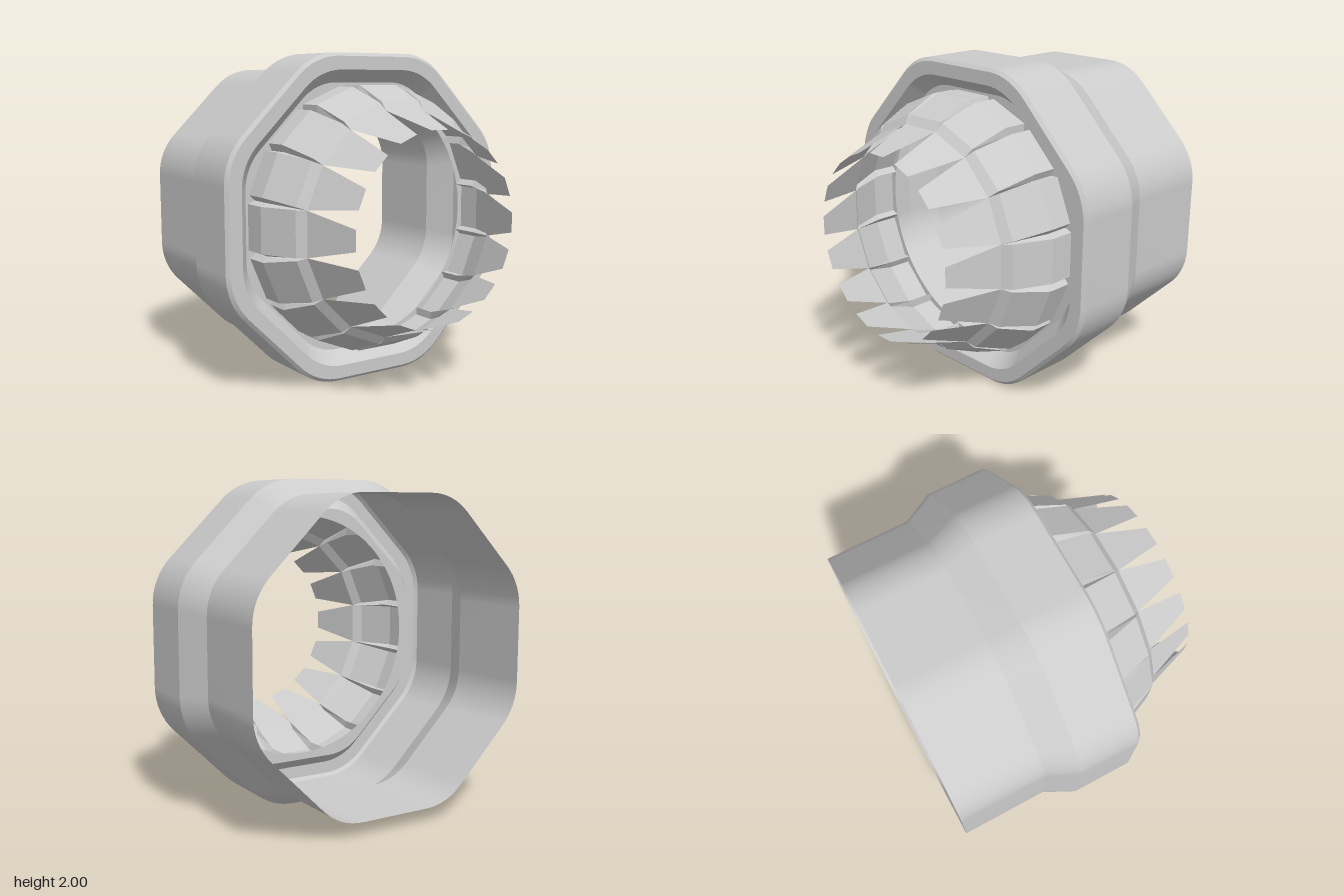
import * as THREE from 'three';
import { mergeGeometries } from 'three/addons/utils/BufferGeometryUtils.js';

const SEG = 8; // segments per rounded corner

// Rounded octagon (apothem a) in the plane z, or a plain circle of radius a
function ring(a, z, circle = false) {
  const pts = [], rho = 0.4 * a, c = (a - rho) / Math.cos(Math.PI / 8);
  for (let k = 0; k < 8; k++) {
    const mid = (k + 0.5) * Math.PI / 4;
    for (let i = 0; i <= SEG; i++) {
      const t = mid + (i / SEG - 0.5) * Math.PI / 4;
      if (circle) {
        // small inset keeps neighbouring points of the circle distinct
        const s = mid + (i / SEG - 0.5) * Math.PI / 4 * 0.9;
        pts.push([a * Math.cos(s), a * Math.sin(s), z]);
      } else {
        pts.push([c * Math.cos(mid) + rho * Math.cos(t), c * Math.sin(mid) + rho * Math.sin(t), z]);
      }
    }
  }
  return pts;
}

// Strip of faces between two rows of points
function band(a, b, closed) {
  const n = a.length, index = [];
  for (let i = 0; i < (closed ? n : n - 1); i++) {
    const j = (i + 1) % n;
    index.push(i, j, n + j, i, n + j, n + i);
  }
  const g = new THREE.BufferGeometry();
  g.setAttribute('position', new THREE.Float32BufferAttribute([...a, ...b].flat(), 3));
  g.setIndex(index);
  g.computeVertexNormals();
  return g;
}

// Bands are separate, so edges between them stay sharp
function loft(rows, closed) {
  return mergeGeometries(rows.slice(1).map((r, i) => band(rows[i], r, closed)));
}

export function createModel() {
  const model = new THREE.Group();
  const smooth = new THREE.MeshStandardMaterial({ color: 0xcccccc, side: THREE.DoubleSide });
  const faceted = new THREE.MeshStandardMaterial({ color: 0xcccccc, side: THREE.DoubleSide, flatShading: true });

  const nozzle = new THREE.Group();
  nozzle.name = 'nozzle';
  nozzle.position.y = 1;
  model.add(nozzle);

  // Outer casing: open back, shoulder, chamfered front edge, rim and inner bevel
  const profile = [
    [0.91, -0.88], [0.91, -0.34], [1, -0.15], [1, 0.23],
    [0.98, 0.25], [0.9, 0.25], [0.825, 0.15],
  ];
  const casing = new THREE.Mesh(loft(profile.map(([a, z]) => ring(a, z)), true), smooth);
  casing.name = 'casing';
  nozzle.add(casing);

  // Flange that joins the casing to the petals
  const flange = new THREE.Mesh(loft([ring(0.825, 0.15), ring(0.78, 0.15, true)], true), smooth);
  flange.name = 'flange';
  nozzle.add(flange);

  // Petal sections: z, radius, half width, radius of the groove beside it
  const COUNT = 16, tan = Math.tan(Math.PI / COUNT);
  const sections = [
    [0.15, 0.81, 0.135, 0.765],
    [0.3, 0.81, 0.135, 0.765],
    [0.52, 0.715, 0.134, 0.685],
    [0.56, 0.665, 0.132, 0.664],
  ];
  const petalBase = loft(sections.map(([z, r, w, g]) =>
    [[g, -g * tan, z], [r, -w, z], [r, w, z], [g, g * tan, z]]), false);
  const petalTip = loft([
    [[0.665, -0.132, 0.56], [0.665, 0.132, 0.56]],
    [[0.565, -0.06, 0.88], [0.565, 0.06, 0.88]],
  ], false);
  const petalGeometry = mergeGeometries([petalBase, petalTip]);

  const petals = new THREE.Group();
  petals.name = 'petals';
  for (let i = 0; i < COUNT; i++) {
    const petal = new THREE.Mesh(petalGeometry, faceted);
    petal.name = 'petal';
    petal.rotation.z = i * 2 * Math.PI / COUNT;
    petals.add(petal);
  }
  nozzle.add(petals);

  return model;
}
